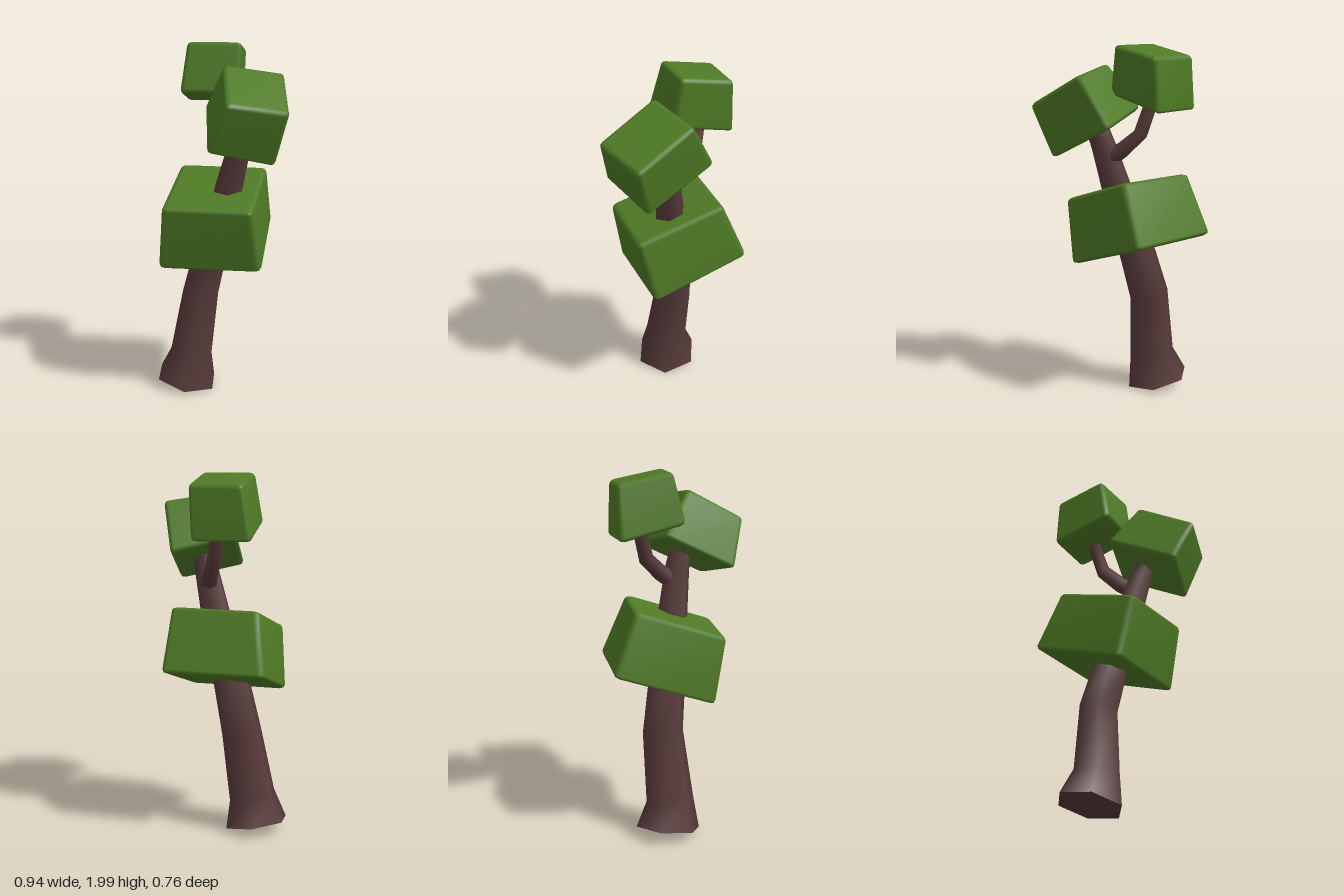
import * as THREE from 'three';
import { mergeVertices } from 'three/addons/utils/BufferGeometryUtils.js';
import { RoundedBoxGeometry } from 'three/addons/geometries/RoundedBoxGeometry.js';

const V = (a) => new THREE.Vector3(...a);

// Six-sided limb through [x, y, z, radius] stations, closed at both ends
function limb(stations, phase = 0, sides = 6) {
  const pos = [], index = [];
  const centres = stations.map((s) => V(s));
  const last = stations.length - 1;
  const ring = (k) => {
    const t = centres[Math.min(k + 1, last)].clone().sub(centres[Math.max(k - 1, 0)]).normalize();
    const e1 = new THREE.Vector3(1, 0, 0).addScaledVector(t, -t.x).normalize();
    const e2 = e1.clone().cross(t);
    for (let i = 0; i < sides; i++) {
      const a = phase + (i / sides) * Math.PI * 2;
      const p = centres[k].clone()
        .addScaledVector(e1, Math.cos(a) * stations[k][3])
        .addScaledVector(e2, Math.sin(a) * stations[k][3]);
      pos.push(p.x, p.y, p.z);
    }
  };
  for (let k = 0; k <= last; k++) ring(k);
  for (let k = 0; k < last; k++) {
    for (let i = 0; i < sides; i++) {
      const a = k * sides + i, b = k * sides + ((i + 1) % sides);
      index.push(a, a + sides, b, b, a + sides, b + sides);
    }
  }
  // end caps on their own vertices keep the rims sharp
  const low = pos.length / 3;
  ring(0);
  const high = pos.length / 3;
  ring(last);
  for (let i = 1; i < sides - 1; i++) {
    index.push(low, low + i, low + i + 1, high, high + i + 1, high + i);
  }
  const g = new THREE.BufferGeometry();
  g.setAttribute('position', new THREE.Float32BufferAttribute(pos, 3));
  g.setIndex(index);
  g.computeVertexNormals();
  return g;
}

// Bevelled block tapering between two parallelograms, each { c: centre, u, v: edge vectors }
function leafBlock(bottom, top, bevel) {
  let g = new RoundedBoxGeometry(1, 1, 1, 1, bevel);
  g.deleteAttribute('normal');
  g.deleteAttribute('uv');
  g = mergeVertices(g, 1e-4);
  const at = (f, x, z) => V(f.c).addScaledVector(V(f.u), x).addScaledVector(V(f.v), z);
  const p = g.attributes.position;
  for (let i = 0; i < p.count; i++) {
    // local x runs along u, local z along v, local y from bottom to top
    const x = p.getX(i) * 1.03, z = p.getZ(i) * 1.03, h = p.getY(i) * 1.02 + 0.5;
    const q = at(bottom, x, z).lerp(at(top, x, z), h);
    p.setXYZ(i, q.x, q.y, q.z);
  }
  g.computeVertexNormals();
  return g;
}

export function createModel() {
  const bark = new THREE.MeshStandardMaterial({ color: 0x573a3a });
  bark.name = 'bark';
  const leaves = new THREE.MeshStandardMaterial({ color: 0x4f7b25 });
  leaves.name = 'leaves';

  const model = new THREE.Group();
  model.name = 'tree';
  const add = (name, geometry, material) => {
    const mesh = new THREE.Mesh(geometry, material);
    mesh.name = name;
    model.add(mesh);
  };

  // Leaning trunk with a flared foot, and a side branch
  add('trunk', limb([
    [-0.247, 0.045, 0.095, 0.182],
    [-0.213, 0.2, 0.095, 0.135],
    [-0.178, 0.58, 0.042, 0.115],
    [-0.115, 0.8, 0.04, 0.107],
    [0.015, 1.2, 0.033, 0.086],
    [0.092, 1.45, 0.035, 0.07],
    [0.15, 1.62, 0.05, 0.06],
  ], -0.09), bark);
  add('branch', limb([
    [0.06, 1.38, 0.02, 0.05],
    [0.0, 1.43, -0.03, 0.045],
    [-0.085, 1.52, -0.085, 0.042],
    [-0.13, 1.66, -0.1, 0.038],
    [-0.14, 1.75, -0.1, 0.036],
  ]), bark);

  // Three tapering blocks of foliage
  add('lowerLeaves', leafBlock(
    { c: [-0.11, 0.863, -0.02], u: [0.483, 0, -0.273], v: [0.262, -0.172, 0.463] },
    { c: [-0.05, 1.206, 0.066], u: [0.43, 0, -0.218], v: [0.21, -0.15, 0.427] },
    0.06), leaves);
  add('upperRightLeaves', leafBlock(
    { c: [-0.163, 1.688, -0.055], u: [0.26, 0, -0.175], v: [0.185, 0.085, 0.29] },
    { c: [-0.155, 1.968, -0.09], u: [0.25, 0, -0.14], v: [0.15, 0.058, 0.25] },
    0.08), leaves);
  add('upperLeftLeaves', leafBlock(
    { c: [0.12, 1.515, 0.073], u: [0.242, -0.08, -0.26], v: [0.245, -0.19, 0.305] },
    { c: [0.263, 1.78, 0.12], u: [0.22, -0.05, -0.232], v: [0.208, -0.17, 0.25] },
    0.07), leaves);

  return model;
}
